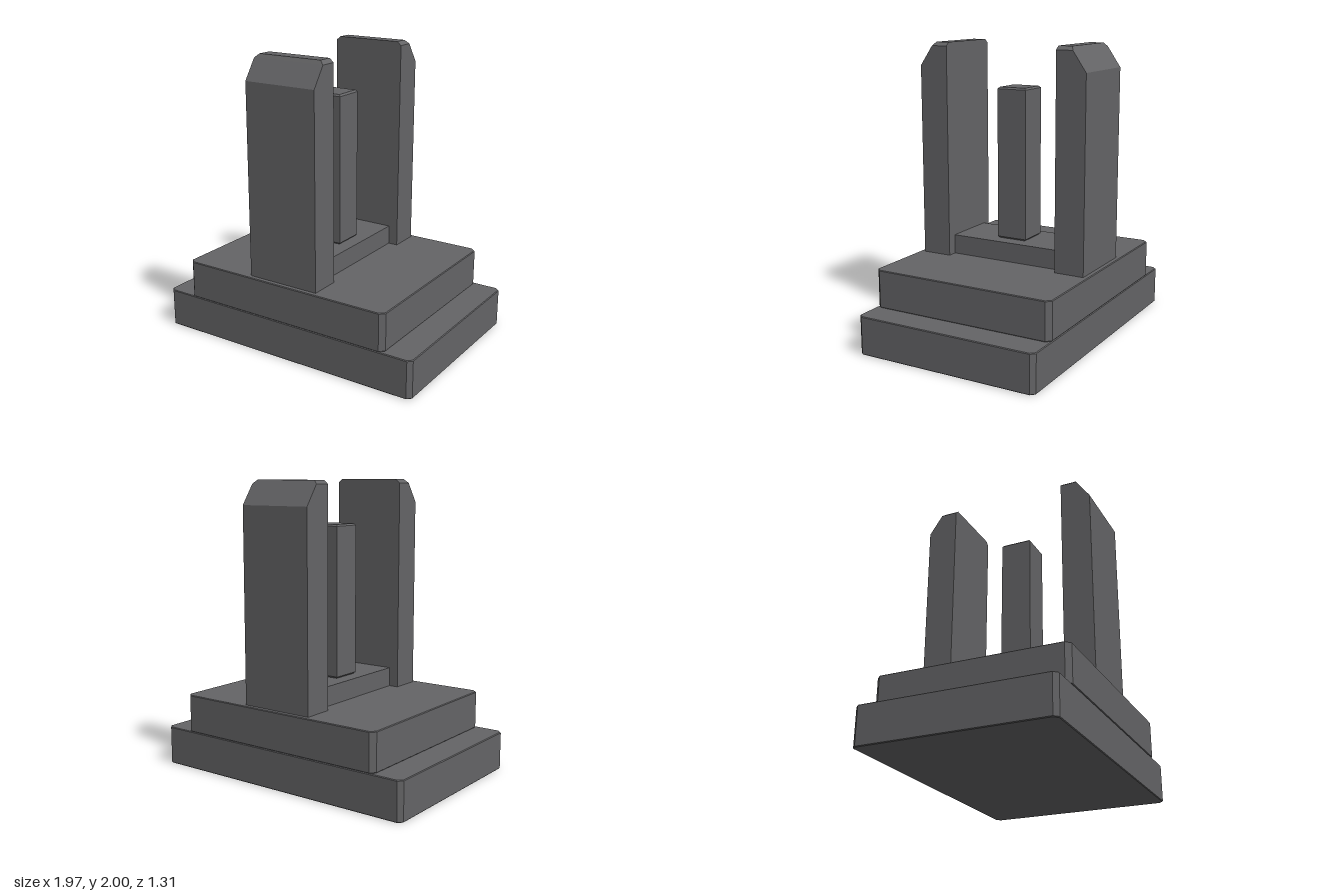
import * as THREE from 'three';
import { ConvexGeometry } from 'three/addons/geometries/ConvexGeometry.js';

const grey = new THREE.MeshStandardMaterial({ color: 0x646466 });
grey.name = 'dark grey';

// Upright block with cut vertical corners and a small bevel along its top and bottom rims
function block(name, halfX, halfZ, y0, y1, corner, bevel) {
  const x = halfX - bevel, z = halfZ - bevel, c = corner;
  const outline = c > 0
    ? [[x - c, -z], [x, -z + c], [x, z - c], [x - c, z], [-x + c, z], [-x, z - c], [-x, -z + c], [-x + c, -z]]
    : [[x, -z], [x, z], [-x, z], [-x, -z]];
  const shape = new THREE.Shape(outline.map(([a, b]) => new THREE.Vector2(a, b)));
  const geometry = new THREE.ExtrudeGeometry(shape, {
    depth: y1 - y0 - 2 * bevel,
    bevelEnabled: bevel > 0, bevelThickness: bevel, bevelSize: bevel, bevelSegments: 1,
  });
  geometry.rotateX(-Math.PI / 2);
  geometry.translate(0, y0 + bevel, 0);
  const mesh = new THREE.Mesh(geometry, grey);
  mesh.name = name;
  return mesh;
}

// Tall plate with a sloped outer top and cut upper side corners
function upright(name, side) {
  const points = [];
  const add = (x, y, z) => points.push(new THREE.Vector3(x, y, z * side), new THREE.Vector3(-x, y, z * side));
  for (const z of [0.412, 0.622]) add(0.262, 0.522, z);
  add(0.262, 1.84, 0.622);
  add(0.262, 1.975, 0.412);
  add(0.262, 1.975, 0.528);
  add(0.232, 2, 0.412);
  add(0.232, 2, 0.51);
  const mesh = new THREE.Mesh(new ConvexGeometry(points), grey);
  mesh.name = name;
  return mesh;
}

export function createModel() {
  const model = new THREE.Group();
  model.name = 'steppedStand';
  model.add(
    // Two stacked slabs
    block('lowerSlab', 0.983, 0.655, 0, 0.264, 0.026, 0.005),
    block('upperSlab', 0.785, 0.655, 0.264, 0.525, 0.03, 0.005),
    // Raised strip joining the uprights
    block('centreStrip', 0.195, 0.413, 0.522, 0.658, 0, 0),
    // Central post
    block('centrePost', 0.108, 0.108, 0.658, 1.705, 0, 0.012),
    // Mirrored uprights
    upright('frontUpright', 1),
    upright('backUpright', -1),
  );
  return model;
}
